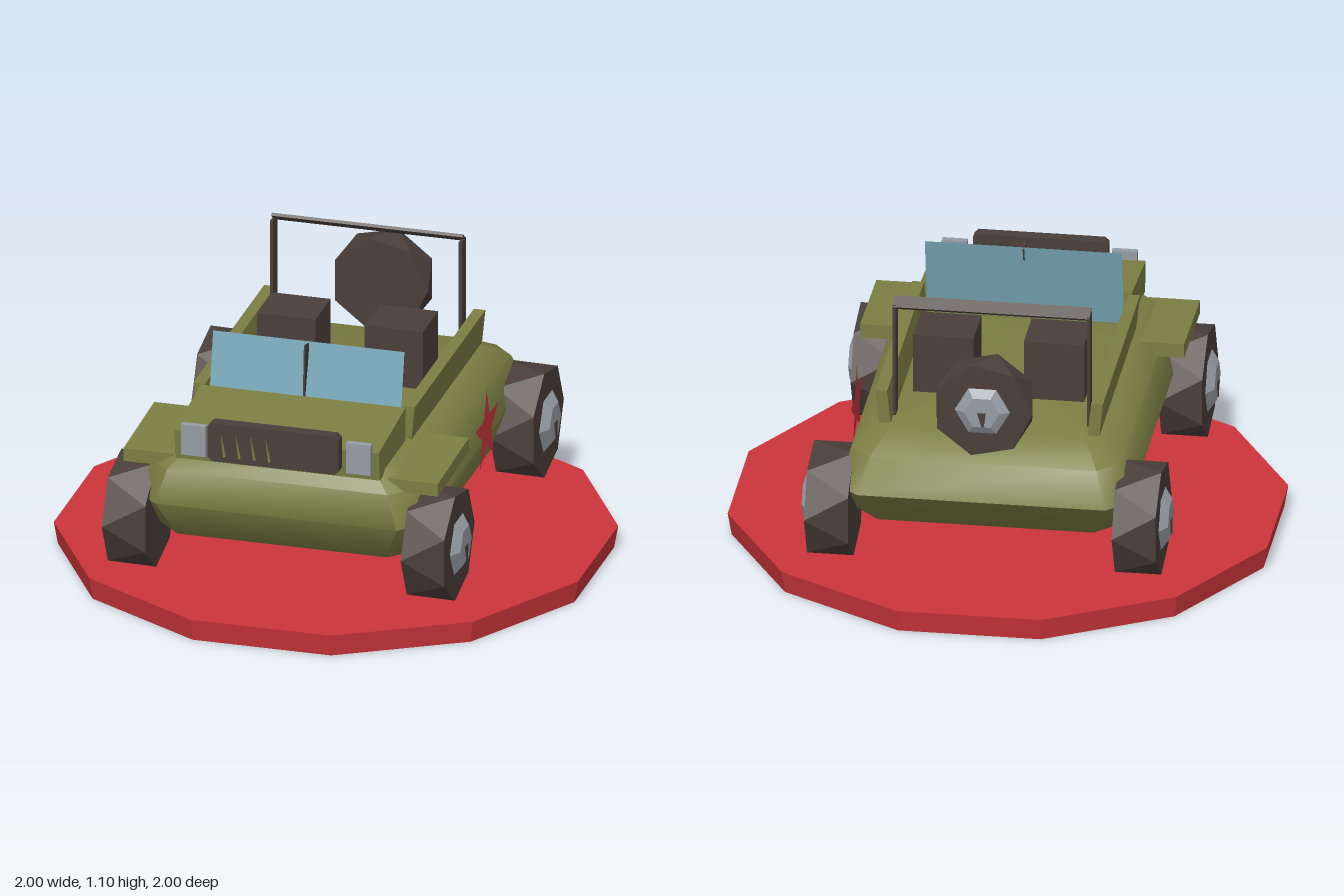
import * as THREE from 'three';
import { toCreasedNormals } from 'three/addons/utils/BufferGeometryUtils.js';

const mat = (name, color, side = THREE.FrontSide) => {
  const m = new THREE.MeshStandardMaterial({ color, side });
  m.name = name;
  return m;
};

// Facet every triangle
function flat(geo) {
  const g = geo.index ? geo.toNonIndexed() : geo;
  g.computeVertexNormals();
  return g;
}

// Stack of chamfered rectangles: [y, halfWidth, zBack, zFront, chamfer]
function loft(levels) {
  const rings = levels.map(([y, w, b, f, c]) => [
    [w, f - c], [w - c, f], [c - w, f], [-w, f - c],
    [-w, b + c], [c - w, b], [w - c, b], [w, b + c],
  ].map(([x, z]) => [x, y, z]));
  const out = [];
  const tri = (...p) => p.forEach((v) => out.push(...v));
  const n = 8, top = rings[rings.length - 1];
  for (let j = 0; j < n; j++) {
    const k = (j + 1) % n;
    for (let i = 0; i + 1 < rings.length; i++) {
      const a = rings[i][j], b = rings[i][k], c = rings[i + 1][k], d = rings[i + 1][j];
      tri(a, d, b);
      tri(b, d, c);
    }
    tri([0, levels[0][0], 0], rings[0][j], rings[0][k]);
    tri([0, top[0][1], 0], top[k], top[j]);
  }
  const g = new THREE.BufferGeometry();
  g.setAttribute('position', new THREE.Float32BufferAttribute(out, 3));
  g.computeVertexNormals();
  return g;
}

// Side profile of [z, y] points extruded between two x values
function sideExtrude(points, x0, x1) {
  const s = new THREE.Shape(points.map(([z, y]) => new THREE.Vector2(-z, y)));
  const g = new THREE.ExtrudeGeometry(s, { depth: x1 - x0, bevelEnabled: false });
  return g.rotateY(Math.PI / 2).translate(x0, 0, 0);
}

export function createModel() {
  const model = new THREE.Group();
  const olive = mat('olive paint', 0x7b7f43);
  const red = mat('red', 0xcb353b, THREE.DoubleSide);
  const dark = mat('dark brown', 0x4a3f3a, THREE.DoubleSide);
  const glass = mat('blue glass', 0x78a8ba, THREE.DoubleSide);
  const grey = mat('light grey', 0x969ca3);

  const add = (name, geo, material, parent = model) => {
    const m = new THREE.Mesh(geo, material);
    m.name = name;
    parent.add(m);
    return m;
  };
  // Box given by its minimum and maximum corners
  const box = (name, a, b, material) => add(name, new THREE.BoxGeometry(b[0] - a[0], b[1] - a[1], b[2] - a[2])
    .translate((a[0] + b[0]) / 2, (a[1] + b[1]) / 2, (a[2] + b[2]) / 2), material);

  // Twelve-sided display base
  add('base', flat(new THREE.CylinderGeometry(1.035, 1.02, 0.085, 12)
    .rotateY(Math.PI / 12).translate(0, 0.0425, 0)), red);

  // Hull with chamfered sides
  add('hull', toCreasedNormals(loft([
    [0.24, 0.40, -0.52, 0.56, 0.08],
    [0.28, 0.49, -0.64, 0.68, 0.09],
    [0.43, 0.54, -0.76, 0.77, 0.08],
    [0.56, 0.50, -0.70, 0.75, 0.08],
    [0.63, 0.42, -0.57, 0.70, 0.06],
  ]), 0.75).translate(-0.01, 0, 0), olive);

  // Sloping hood
  add('hood', sideExtrude([[0.40, 0.61], [0.74, 0.61], [0.755, 0.725], [0.40, 0.76]], -0.40, 0.38), olive);

  // Tub walls flare outward a little
  for (const s of [-1, 1]) {
    const wall = sideExtrude([[0.385, 0.61], [0.39, 0.76], [-0.55, 0.76], [-0.55, 0.63]], -0.022, 0.022);
    const p = wall.attributes.position;
    for (let i = 0; i < p.count; i++) p.setX(i, p.getX(i) + s * (0.385 + (p.getY(i) - 0.61) * 0.1) - 0.01);
    add('tubWall', flat(wall), olive);
    // Front fenders
    const fender = sideExtrude([[0.29, 0.565], [0.70, 0.555], [0.70, 0.605], [0.29, 0.62]], -0.095, 0.095);
    add('fender', fender, olive).position.x = s * 0.505 - 0.01;
    // Headlights
    const lx = s * 0.315 - 0.007;
    box('headlight', [lx - 0.047, 0.64, 0.75], [lx + 0.047, 0.76, 0.775], grey);
    // Roll bar posts
    const px = s * 0.36 - 0.008;
    box('rollBarPost', [px - 0.006, 0.62, -0.48], [px + 0.006, 1.075, -0.425], dark);
    // Seats
    const sx = s * 0.205 - 0.005;
    box('seat', [sx - 0.112, 0.62, -0.27], [sx + 0.112, 0.86, -0.07], dark);
  }

  const bar = add('rollBar', new THREE.BoxGeometry(0.73, 0.012, 0.05), dark);
  bar.position.set(-0.008, 1.08, -0.46);
  bar.rotation.x = -0.65;

  // Leaning windshield and its centre strut
  const wind = add('windshield', new THREE.PlaneGeometry(0.73, 0.32), glass);
  wind.position.set(-0.008, 0.795, 0.365);
  wind.rotation.x = -0.2;
  add('windshieldStrut', sideExtrude([[0.39, 0.74], [0.40, 0.74], [0.385, 0.955], [0.33, 0.945]], -0.012, -0.006), dark);

  // Grille with rounded corners
  const gw = 0.25, gh = 0.076, c = 0.015;
  const outline = new THREE.Shape([
    [gw, gh - c], [gw - c, gh], [c - gw, gh], [-gw, gh - c],
    [-gw, c - gh], [c - gw, -gh], [gw - c, -gh], [gw, c - gh],
  ].map(([x, y]) => new THREE.Vector2(x, y)));
  add('grille', new THREE.ExtrudeGeometry(outline, { depth: 0.045, bevelEnabled: false })
    .translate(-0.01, 0.715, 0.755), dark);
  // Narrow slats on the grille face
  for (let i = 0; i < 4; i++) {
    const slat = new THREE.Shape([
      new THREE.Vector2(-0.008, 0.04), new THREE.Vector2(0.002, -0.05), new THREE.Vector2(0.01, -0.045),
    ]);
    add('grilleSlat', new THREE.ExtrudeGeometry(slat, { depth: 0.008, bevelEnabled: false })
      .translate(-0.2 + i * 0.057, 0.71, 0.8), olive);
  }

  // Faceted wheel whose axle points along +x
  const tyre = new THREE.CylinderGeometry(0.212, 0.212, 0.16, 7);
  const tp = tyre.attributes.position, v = new THREE.Vector3(), up = new THREE.Vector3(0, 1, 0);
  for (let i = 0; i < tp.count; i++) {
    v.fromBufferAttribute(tp, i);
    if (v.y > 0) tp.setXYZ(i, ...v.applyAxisAngle(up, -Math.PI / 7));
  }
  const tyreGeo = flat(tyre.rotateZ(-Math.PI / 2));
  const hubGeo = flat(new THREE.CylinderGeometry(0.075, 0.118, 0.03, 6)
    .rotateZ(-Math.PI / 2).translate(0.094, 0, 0));
  const slotGeo = sideExtrude([[0.018, 0], [-0.018, 0], [-0.01, -0.06], [0, -0.065]], 0.108, 0.113);
  const wheel = (name, x, y, z, turn, size = 1) => {
    const g = new THREE.Group();
    g.name = name;
    add('tyre', tyreGeo, dark, g);
    add('hub', hubGeo, grey, g);
    add('hubSlot', slotGeo, dark, g);
    g.position.set(x, y, z);
    g.rotation.y = turn;
    g.scale.set(size, size, size);
    model.add(g);
    return g;
  };
  for (const [end, z] of [['front', 0.6], ['rear', -0.585]]) {
    wheel(end + 'LeftWheel', 0.56, 0.33, z, 0);
    wheel(end + 'RightWheel', -0.58, 0.33, z, Math.PI);
  }
  wheel('spareWheel', -0.01, 0.785, -0.665, Math.PI / 2, 0.88).scale.x = 0.7;

  // Star on the left flank
  const star = new THREE.Shape();
  for (let i = 0; i < 10; i++) {
    const a = Math.PI / 2 + i * Math.PI / 5, r = i % 2 ? 0.062 : 0.158;
    star[i ? 'lineTo' : 'moveTo'](Math.cos(a) * r, Math.sin(a) * r);
  }
  add('star', new THREE.ShapeGeometry(star).rotateY(Math.PI / 2).translate(0.545, 0.482, -0.105), red);

  return model;
}
